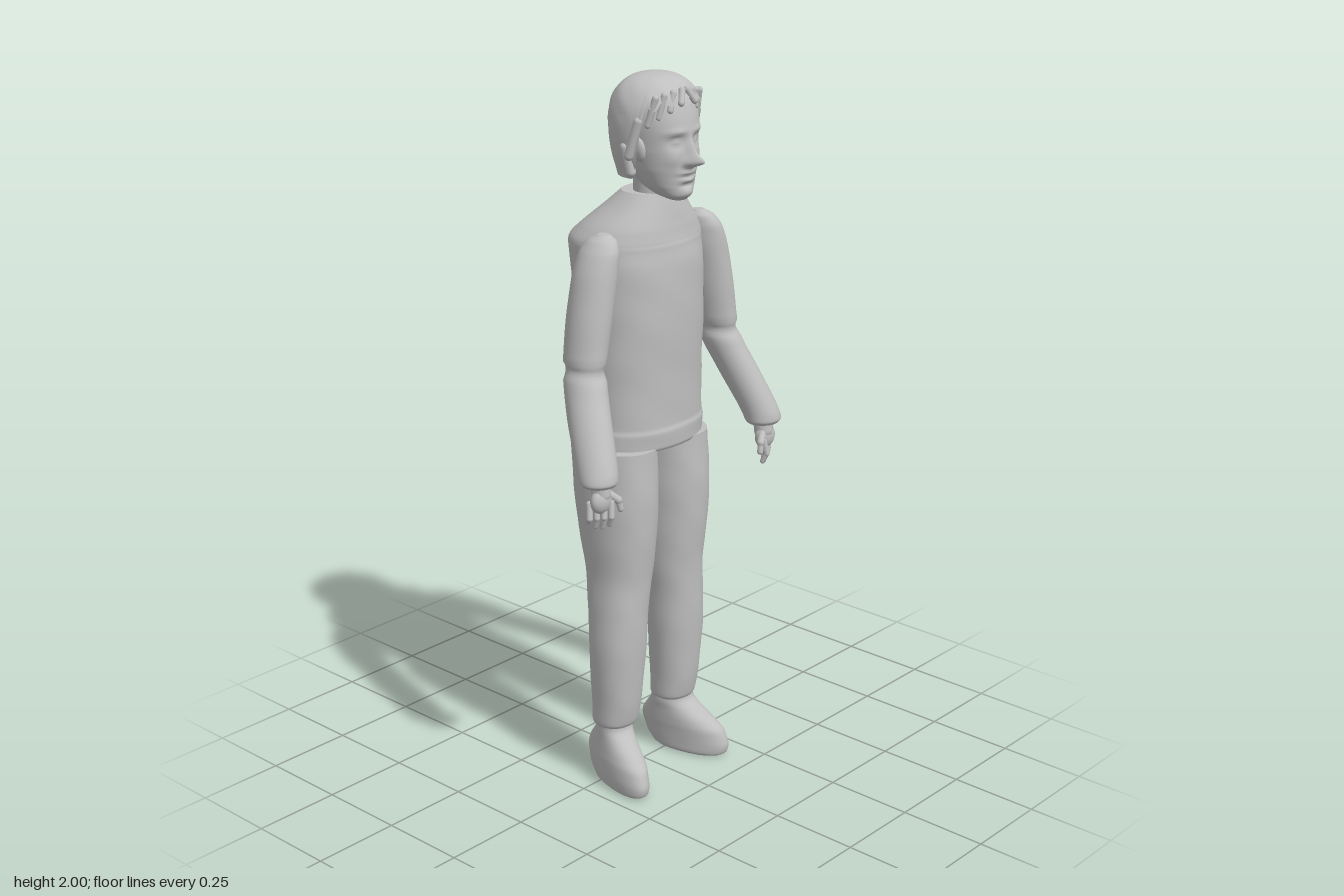
import * as THREE from 'three';

const TAU = Math.PI * 2;
const gauss = (d, s) => Math.exp(-(d * d) / (s * s));

// Closed skin of n columns and m rows; point(a, t) gives [x, y, z], rows run upward.
function skin(n, m, point, capped = true) {
  const pos = [], idx = [];
  for (let j = 0; j <= m; j++)
    for (let i = 0; i < n; i++) pos.push(...point((i / n) * TAU, j / m));
  for (let j = 0; j < m; j++)
    for (let i = 0; i < n; i++) {
      const a = j * n + i, b = j * n + ((i + 1) % n);
      idx.push(a, b, b + n, a, b + n, a + n);
    }
  // End caps have their own corners so that the rim stays crisp.
  if (capped) for (const j of [0, m]) {
    const base = pos.length / 3, c = [0, 0, 0];
    for (let i = 0; i < n; i++)
      for (let k = 0; k < 3; k++) {
        const v = pos[(j * n + i) * 3 + k];
        pos.push(v);
        c[k] += v / n;
      }
    pos.push(...c);
    for (let i = 0; i < n; i++) {
      const a = base + i, b = base + ((i + 1) % n);
      idx.push(...(j ? [a, b, base + n] : [b, a, base + n]));
    }
  }
  const g = new THREE.BufferGeometry();
  g.setAttribute('position', new THREE.Float32BufferAttribute(pos, 3));
  g.setIndex(idx);
  g.computeVertexNormals();
  return g;
}

// Smooth loft through level sections [y, centre x, half width, back z, front z].
function loft(rows, { n = 40, sub = 5, power = 2, skew = 0, ripple = 0, side = 1, relief } = {}) {
  const centre = new THREE.CatmullRomCurve3(rows.map(r => new THREE.Vector3(r[1] * side, r[0], (r[3] + r[4]) / 2)));
  const size = new THREE.CatmullRomCurve3(rows.map(r => new THREE.Vector3(r[2], 0, (r[4] - r[3]) / 2)));
  const pw = v => Math.sign(v) * Math.abs(v) ** (2 / power);
  return skin(n, (rows.length - 1) * sub, (a, t) => {
    const c = centre.getPoint(t), s = size.getPoint(t);
    const k = 1 + ripple * Math.sin(c.y * 38 + 2 * Math.sin(a * 2)) * Math.sin(a * 3 + c.y * 9);
    const dz = pw(Math.cos(a)) * s.z * k;
    const p = [c.x + pw(Math.sin(a)) * s.x * k + dz * skew * side, c.y, c.z + dz];
    if (relief && Math.cos(a) > 0) p[2] += relief(p[0] - c.x, p[1]) * Math.min(1, Math.cos(a) * 2);
    return p;
  });
}

// Face relief: [x, y, depth, width, height], mirrored where x is not 0.
const features = [
  [0, 1.785, 0.042, 0.014, 0.016], [0, 1.81, 0.02, 0.011, 0.03], [0.014, 1.78, 0.012, 0.009, 0.009],
  [0.038, 1.835, -0.014, 0.022, 0.014], [0.038, 1.834, 0.011, 0.014, 0.008],
  [0.04, 1.86, 0.006, 0.028, 0.008], [0.05, 1.79, 0.005, 0.02, 0.02],
  [0, 1.752, 0.009, 0.026, 0.006], [0, 1.743, -0.006, 0.03, 0.003], [0, 1.733, 0.009, 0.022, 0.006],
  [0, 1.718, -0.006, 0.025, 0.006], [0, 1.698, 0.006, 0.022, 0.012],
];
function faceRelief(x, y) {
  let d = 0;
  for (const [fx, fy, depth, w, h] of features)
    for (const s of fx ? [1, -1] : [1]) d += depth * gauss(x - fx * s, w) * gauss(y - fy, h);
  return d;
}

// Hair shell: low at the back and sides, cut short over the forehead.
function hairGeometry() {
  return skin(72, 24, (a, t) => {
    const c = Math.cos(a), s = Math.sin(a);
    const edge = THREE.MathUtils.smoothstep(c, 0.15, 0.62);
    const low = 1.735 + 0.195 * edge + (0.01 * Math.sin(a * 17) + 0.006 * Math.sin(a * 9)) * edge;
    const y = low + (2 - low) * Math.sin(t * Math.PI / 2);
    const h = Math.min(1, Math.abs(y - 1.87) / 0.13);
    const f = y > 1.87 ? (1 - h ** 2.5) ** 0.4 : 1 - 0.2 * h * h;
    const k = f * (1 + 0.018 * Math.sin(a * 7 + y * 40) * Math.sin(y * 60 + a * 2) * (y > 1.88 ? 1 : 0));
    return [0.01 + s * 0.128 * k, y, 0.03 + c * (c > 0 ? 0.126 : 0.113) * k];
  }, false);
}

export function createModel() {
  const model = new THREE.Group();
  model.name = 'standingFigure';
  const grey = new THREE.MeshStandardMaterial({ color: 0xbfbfbf, side: THREE.DoubleSide });
  grey.name = 'plainGrey';

  const add = (name, geometry, parent = model) => {
    const mesh = new THREE.Mesh(geometry, grey);
    mesh.name = name;
    parent.add(mesh);
    return mesh;
  };
  // Rounded rod between two points.
  const rod = (name, a, b, r, parent) => {
    const p = new THREE.Vector3(...a), d = new THREE.Vector3(...b).sub(p);
    const mesh = add(name, new THREE.CapsuleGeometry(r, d.length(), 5, 10), parent);
    mesh.position.copy(p).addScaledVector(d, 0.5);
    mesh.quaternion.setFromUnitVectors(new THREE.Vector3(0, 1, 0), d.normalize());
    return mesh;
  };
  const ball = (name, p, s, parent) => {
    const mesh = add(name, new THREE.SphereGeometry(1, 20, 14), parent);
    mesh.position.set(...p);
    mesh.scale.set(...s);
    return mesh;
  };

  // Top with a hem, a shoulder ridge and a yoke sloping up to the collar
  add('torso', loft([
    [0.99, 0.012, 0.18, -0.145, 0.115], [1.0, 0.012, 0.187, -0.152, 0.12], [1.04, 0.012, 0.187, -0.152, 0.122],
    [1.06, 0.012, 0.183, -0.15, 0.118], [1.2, 0.012, 0.184, -0.16, 0.12], [1.38, 0.012, 0.187, -0.175, 0.125],
    [1.5, 0.012, 0.19, -0.188, 0.12], [1.55, 0.012, 0.19, -0.196, 0.113], [1.567, 0.012, 0.187, -0.19, 0.11],
    [1.6, 0.012, 0.166, -0.155, 0.105], [1.65, 0.014, 0.118, -0.098, 0.095], [1.69, 0.016, 0.085, -0.055, 0.085],
  ], { n: 64, sub: 6, power: 2.25, ripple: 0.008 }));

  // Head, neck and hair
  const head = new THREE.Group();
  head.name = 'head';
  model.add(head);
  add('neck', loft([[1.64, 0.01, 0.062, -0.03, 0.09], [1.7, 0.01, 0.058, -0.025, 0.09], [1.77, 0.01, 0.06, -0.03, 0.09]]), head);
  add('face', loft([
    [1.677, 0.01, 0.022, 0.09, 0.135], [1.69, 0.01, 0.045, 0.05, 0.146], [1.715, 0.01, 0.065, 0.0, 0.149],
    [1.76, 0.01, 0.083, -0.04, 0.152], [1.81, 0.01, 0.094, -0.062, 0.153], [1.87, 0.01, 0.1, -0.07, 0.153],
    [1.93, 0.01, 0.097, -0.06, 0.138], [1.965, 0.01, 0.075, -0.03, 0.105], [1.985, 0.01, 0.03, 0.01, 0.05],
  ], { n: 110, sub: 9, power: 2.15, relief: faceRelief }), head);
  add('hair', hairGeometry(), head);
  for (const s of [1, -1]) {
    const x = v => 0.01 + s * v;
    ball('ear', [x(0.098), 1.815, 0.065], [0.012, 0.033, 0.02], head).rotation.z = -s * 0.15;
    rod('sideLock', [x(0.112), 1.89, 0.075], [x(0.12), 1.8, 0.05], 0.013, head);
    rod('lowerLock', [x(0.118), 1.82, 0.035], [x(0.108), 1.755, 0.045], 0.014, head);
    for (let i = 0; i < 4; i++)
      rod('fringeLock', [x(0.01 + i * 0.025), 1.965 - i * 0.005, 0.134 - i * 0.008],
        [x(0.026 + i * 0.023), 1.935 - i * 0.018, 0.146 - i * 0.018], 0.009, head);
  }

  // Sleeves, hands, trouser legs and shoes on both sides
  for (const s of [1, -1]) {
    const limb = (s > 0 ? 'left' : 'right');
    add(limb + 'Arm', loft([
      [0.985, 0.335, 0.046, 0.105, 0.193], [0.995, 0.336, 0.053, 0.098, 0.2], [1.02, 0.332, 0.053, 0.085, 0.196],
      [1.14, 0.3, 0.053, 0.02, 0.145], [1.23, 0.273, 0.053, -0.018, 0.105], [1.28, 0.264, 0.053, -0.027, 0.096],
      [1.4, 0.242, 0.057, -0.032, 0.096], [1.5, 0.22, 0.056, -0.033, 0.094], [1.56, 0.204, 0.046, -0.028, 0.09],
      [1.59, 0.193, 0.033, -0.012, 0.075], [1.605, 0.187, 0.014, 0.015, 0.05],
    ], { n: 36, side: s, ripple: 0.006 }));

    const hand = new THREE.Group();
    hand.name = limb + 'Hand';
    hand.scale.x = 1;
    model.add(hand);
    rod('wrist', [s * 0.335, 1.0, 0.15], [s * 0.333, 0.96, 0.155], 0.027, hand);
    ball('palm', [s * 0.336, 0.943, 0.158], [0.036, 0.036, 0.022], hand).rotation.z = s * 0.2;
    for (let i = 0; i < 4; i++) {
      const x = s * (0.314 + i * 0.016), z = 0.172 - i * 0.011, drop = [0.006, 0, 0.004, 0.018][i];
      rod('finger', [x, 0.935, z], [x + s * 0.006, 0.897, z + 0.006], 0.0088, hand);
      rod('fingertip', [x + s * 0.006, 0.897, z + 0.006], [x + s * 0.002, 0.868 + drop, z - 0.004], 0.0078, hand);
    }
    rod('thumb', [s * 0.315, 0.957, 0.165], [s * 0.293, 0.937, 0.178], 0.011, hand);
    rod('thumbTip', [s * 0.293, 0.937, 0.178], [s * 0.288, 0.912, 0.181], 0.0085, hand);

    const o = s > 0 ? 0 : 0.012; // the right leg stands slightly further out at the foot
    add(limb + 'Leg', loft([
      [0.175, 0.116 + o, 0.059, -0.046, 0.064], [0.185, 0.116 + o, 0.065, -0.05, 0.07], [0.25, 0.116 + o, 0.069, -0.052, 0.082],
      [0.4, 0.115 + o, 0.079, -0.056, 0.095], [0.52, 0.11 + o, 0.079, -0.066, 0.1], [0.62, 0.104 + o / 2, 0.083, -0.083, 0.103],
      [0.75, 0.107, 0.093, -0.11, 0.117], [0.87, 0.106, 0.097, -0.13, 0.12], [1.0, 0.103, 0.097, -0.14, 0.115],
    ], { n: 40, side: s, power: 2.2, ripple: 0.01 }));

    add(limb + 'Shoe', loft([
      [0, 0.142 + o, 0.042, -0.045, 0.155], [0.008, 0.142 + o, 0.049, -0.055, 0.168], [0.04, 0.14 + o, 0.052, -0.078, 0.172],
      [0.075, 0.135 + o, 0.053, -0.088, 0.16], [0.105, 0.128 + o, 0.053, -0.085, 0.128], [0.135, 0.122 + o, 0.053, -0.065, 0.088],
      [0.165, 0.117 + o, 0.054, -0.045, 0.06], [0.2, 0.116 + o, 0.053, -0.042, 0.058],
    ], { n: 40, side: s, power: 2.2, skew: 0.22 }));
  }
  return model;
}
